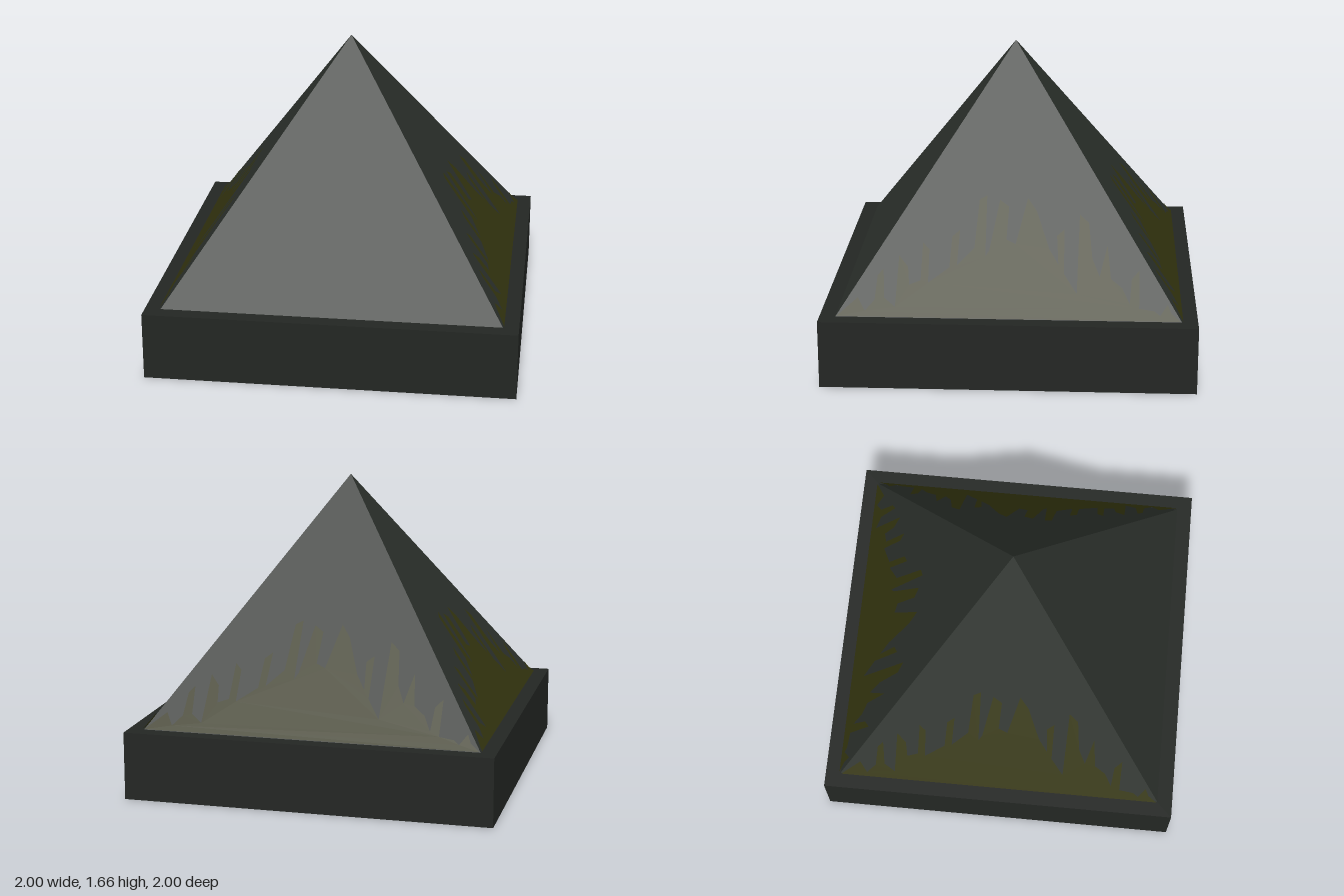
import * as THREE from 'three';

const PLINTH_TOP = 0.37;
const APEX = 1.665;
const HALF = 0.915; // half width of the pyramid at its foot

const material = (color, extra = {}) => new THREE.MeshStandardMaterial({ color, ...extra });

// Grass silhouette: distance along the foot, height
const GRASS = [
  [-0.91, 0.375], [-0.8, 0.46], [-0.76, 0.4], [-0.71, 0.45], [-0.7, 0.56], [-0.67, 0.59],
  [-0.66, 0.46], [-0.6, 0.42], [-0.59, 0.65], [-0.54, 0.6], [-0.53, 0.52], [-0.47, 0.54],
  [-0.465, 0.71], [-0.43, 0.68], [-0.43, 0.53], [-0.32, 0.6], [-0.31, 0.74], [-0.27, 0.77],
  [-0.28, 0.61], [-0.19, 0.69], [-0.17, 0.91], [-0.13, 0.93], [-0.13, 0.65], [-0.11, 0.68],
  [-0.06, 0.91], [-0.01, 0.88], [-0.02, 0.73], [0.03, 0.71], [0.09, 0.92], [0.14, 0.86],
  [0.21, 0.69], [0.26, 0.62], [0.25, 0.75], [0.29, 0.78], [0.29, 0.58], [0.36, 0.49],
  [0.37, 0.85], [0.42, 0.81], [0.44, 0.65], [0.48, 0.57], [0.52, 0.71], [0.54, 0.56],
  [0.6, 0.52], [0.64, 0.45], [0.65, 0.56], [0.69, 0.6], [0.69, 0.43], [0.77, 0.42],
  [0.8, 0.4], [0.84, 0.45], [0.86, 0.41], [0.91, 0.375],
];

// Flat cut-out, leaned back to lie just above a sloping face
function grassGeometry() {
  const shape = new THREE.Shape(GRASS.map(([s, y]) => new THREE.Vector2(s, y)));
  const geometry = new THREE.ShapeGeometry(shape);
  const p = geometry.attributes.position;
  for (let i = 0; i < p.count; i++) {
    p.setZ(i, HALF * (APEX - p.getY(i)) / (APEX - PLINTH_TOP) + 0.01);
  }
  geometry.computeVertexNormals();
  return geometry;
}

export function createModel() {
  const model = new THREE.Group();
  model.name = 'pyramid';

  // Square plinth
  const plinth = new THREE.Mesh(new THREE.BoxGeometry(2, PLINTH_TOP, 2), material(0x232623));
  plinth.name = 'plinth';
  plinth.position.y = PLINTH_TOP / 2;
  model.add(plinth);

  // Four-sided roof, turned so its faces are parallel to the plinth
  const height = APEX - PLINTH_TOP;
  const roofGeometry = new THREE.ConeGeometry(HALF * Math.SQRT2, height, 4);
  roofGeometry.rotateY(Math.PI / 4);
  const roof = new THREE.Mesh(roofGeometry, material(0x2b302b, { flatShading: true }));
  roof.name = 'pyramidBody';
  roof.position.y = PLINTH_TOP + height / 2;
  model.add(roof);

  // Grass on the left, back and right faces; the front stays bare
  const geometry = grassGeometry();
  const grassMaterial = material(0x33340f, { side: THREE.DoubleSide });
  ['leftGrass', 'backGrass', 'rightGrass'].forEach((name, i) => {
    const grass = new THREE.Mesh(geometry, grassMaterial);
    grass.name = name;
    grass.rotation.y = (i + 1) * Math.PI / 2;
    model.add(grass);
  });

  return model;
}
